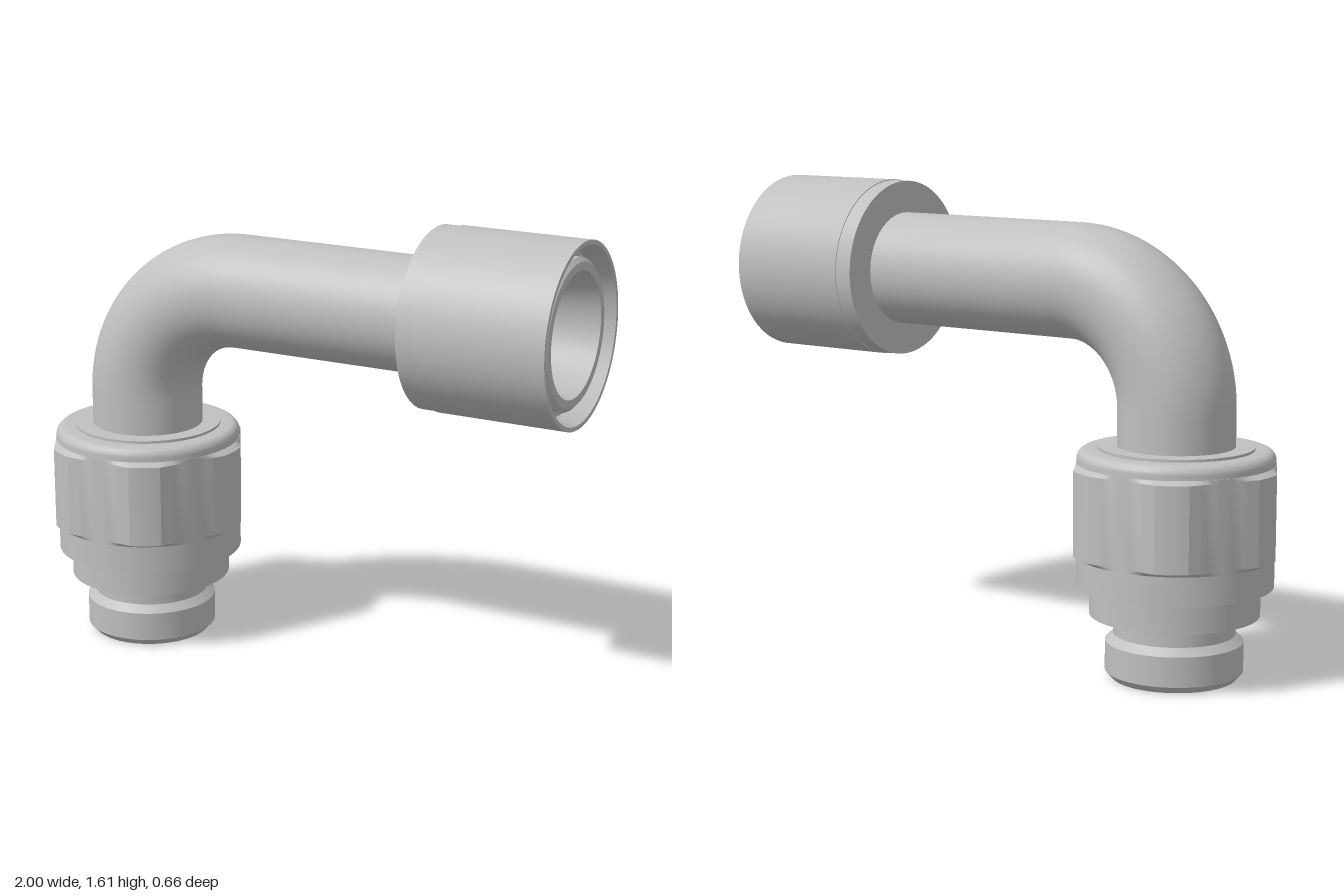
import * as THREE from 'three';
import { toCreasedNormals } from 'three/addons/utils/BufferGeometryUtils.js';

const AXIS_X = -0.645, AXIS_Y = 1.297, BEND = 0.395, BORE = 0.163;

export function createModel() {
  const model = new THREE.Group();
  const steel = new THREE.MeshStandardMaterial({ color: 0xc0c0c0, side: THREE.DoubleSide });
  steel.name = 'grey steel';

  const add = (name, geometry) => {
    const mesh = new THREE.Mesh(geometry, steel);
    mesh.name = name;
    model.add(mesh);
    return mesh;
  };
  // Turned part from [radius, height] pairs, with sharp edges kept
  const turn = (pairs, segments = 96) =>
    new THREE.LatheGeometry(pairs.map(([r, y]) => new THREE.Vector2(r, y)), segments);
  const crease = (geometry) => {
    geometry.deleteAttribute('normal');
    return toCreasedNormals(geometry, 0.3);
  };

  // Bent pipe: riser, quarter bend and horizontal run
  const pipePath = (yStart, xEnd) => {
    const path = new THREE.CurvePath();
    const cx = AXIS_X + BEND, cy = AXIS_Y - BEND, points = [];
    points.push(new THREE.Vector3(AXIS_X, yStart, 0));
    const n = 40;
    for (let i = 0; i <= n; i++) {
      const a = Math.PI - (i / n) * Math.PI / 2;
      points.push(new THREE.Vector3(cx + BEND * Math.cos(a), cy + BEND * Math.sin(a), 0));
    }
    points.push(new THREE.Vector3(xEnd, AXIS_Y, 0));
    for (let i = 1; i < points.length; i++) path.add(new THREE.LineCurve3(points[i - 1], points[i]));
    return path;
  };
  add('bentPipe', new THREE.TubeGeometry(pipePath(0.76, 0.52), 160, 0.195, 64));
  add('pipeBore', new THREE.TubeGeometry(pipePath(0.02, 0.7), 200, BORE, 64));

  // Threaded spigot at the bottom with a hollow end
  add('spigot', crease(turn([
    [BORE, 0.03], [BORE, 0], [0.208, 0], [0.23, 0.024], [0.23, 0.125],
    [0.203, 0.15], [0.203, 0.2], [0.215, 0.215], [0.283, 0.215],
    [0.283, 0.315], [0.2, 0.315],
  ]))).position.x = AXIS_X;

  // Round body of the nut with a rolled top edge and a raised collar
  const body = [[0.2, 0.315], [0.327, 0.315], [0.327, 0.738]];
  for (let i = 1; i <= 8; i++) {
    const a = (i / 8) * Math.PI / 2;
    body.push([0.295 + 0.032 * Math.cos(a), 0.738 + 0.032 * Math.sin(a)]);
  }
  body.push([0.258, 0.77], [0.258, 0.779], [0.19, 0.779]);
  add('nutBody', crease(turn(body))).position.x = AXIS_X;

  // Hexagon with turned-off corners: a chamfered disc cut by six flats
  const hex = turn([[0.3, 0.414], [0.329, 0.414], [0.3525, 0.426], [0.3525, 0.712], [0.329, 0.724], [0.3, 0.724]], 120);
  const p = hex.attributes.position;
  for (let i = 0; i < p.count; i++) {
    const x = p.getX(i), z = p.getZ(i), r = Math.hypot(x, z);
    const sector = Math.PI / 3, phi = Math.atan2(x, z);
    const a = phi - Math.round(phi / sector) * sector;
    const k = Math.min(r, 0.3285 / Math.cos(a)) / r;
    p.setX(i, x * k);
    p.setZ(i, z * k);
  }
  add('hexagon', crease(hex)).position.x = AXIS_X;

  // Socket at the pipe end: outer sleeve, ring groove and tapered inner seat
  const socket = add('socket', crease(turn([
    [0.19, 0.488], [0.305, 0.488], [0.305, 0.55], [0.308, 0.55], [0.308, 1],
    [0.293, 1], [0.272, 0.93], [0.25, 0.93], [0.25, 0.967], [0.236, 0.98],
    [0.208, 0.98], [BORE, 0.69],
  ])));
  socket.rotation.z = -Math.PI / 2;
  socket.position.y = AXIS_Y;

  return model;
}
